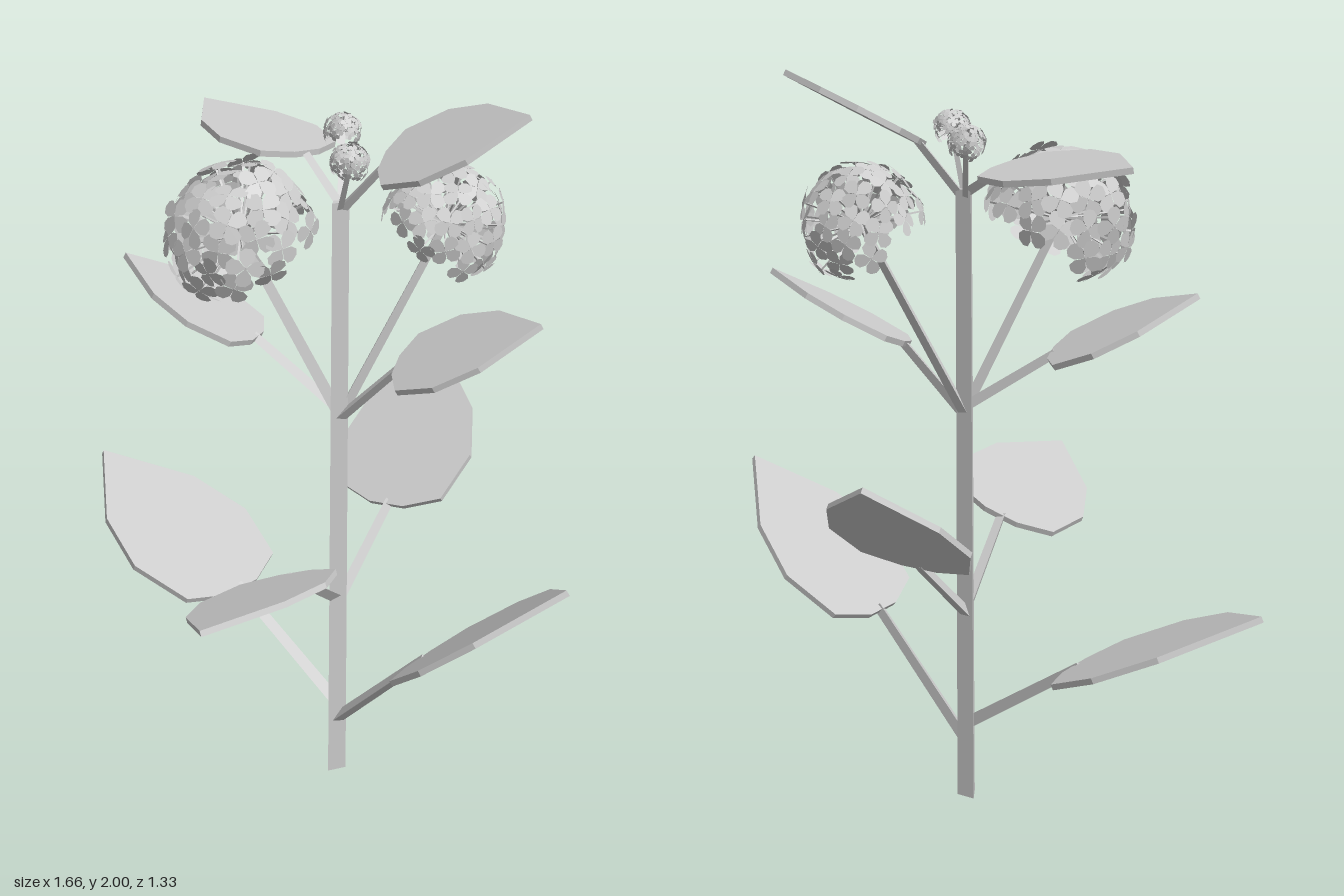
import * as THREE from 'three';
import { mergeGeometries } from 'three/addons/utils/BufferGeometryUtils.js';

const V = (a) => new THREE.Vector3(...a);
const UP = new THREE.Vector3(0, 1, 0);

// Small seeded random source
function seeded(seed) {
  return () => (seed = (seed * 16807) % 2147483647) / 2147483647;
}

// Three-sided rod between two points
function rodGeometry(a, b, r0, r1) {
  const d = b.clone().sub(a);
  const g = new THREE.CylinderGeometry(r1, r0, d.length(), 3);
  g.applyQuaternion(new THREE.Quaternion().setFromUnitVectors(UP, d.clone().normalize()));
  g.translate(...a.clone().add(b).multiplyScalar(0.5).toArray());
  return g;
}

// Flat pointed leaf, thin slab laid along base -> tip with a given width direction
function leafGeometry(base, tip, sideHint) {
  const axis = tip.clone().sub(base);
  const L = axis.length();
  axis.normalize();
  const side = sideHint.clone().addScaledVector(axis, -sideHint.dot(axis)).normalize();
  const normal = side.clone().cross(axis);
  const half = [[0.1, 0], [0.3, 0.08], [0.385, 0.36], [0.3, 0.65]];
  const outline = [...half, [0, 1], ...half.map(([w, t]) => [-w, t]).reverse()];
  const shape = new THREE.Shape(outline.map(([w, t]) => new THREE.Vector2(w * L, t * L)));
  const depth = 0.016;
  const g = new THREE.ExtrudeGeometry(shape, { depth, bevelEnabled: false });
  g.translate(0, 0, -depth / 2);
  g.applyMatrix4(new THREE.Matrix4().makeBasis(side, axis, normal).setPosition(base));
  return g;
}

// Four-petalled floret of unit radius, facing +z, petals bent slightly back
function floretGeometry() {
  const petal = new THREE.Shape([[0, 0], [0.36, 0.4], [0.42, 0.78], [0.18, 1],
    [-0.18, 1], [-0.42, 0.78], [-0.36, 0.4]].map((p) => new THREE.Vector2(...p)));
  const petals = [];
  for (let i = 0; i < 4; i++) {
    const g = new THREE.ShapeGeometry(petal);
    g.rotateX(-0.15);
    g.rotateZ(i * Math.PI / 2);
    petals.push(g);
  }
  return mergeGeometries(petals);
}

// Rounded cluster of florets on spokes, open towards its stalk
function flowerHead(center, axis, R, count, size, seed) {
  const rnd = seeded(seed);
  const tilt = new THREE.Quaternion().setFromUnitVectors(UP, axis.clone().normalize());
  const unit = floretGeometry();
  const florets = [], spokes = [];
  const low = Math.cos(2.03);
  for (let i = 0; i < count; i++) {
    const c = 1 - (1 - low) * (i + 0.5) / count;
    const s = Math.sqrt(1 - c * c);
    const a = i * 2.39996;
    const dir = new THREE.Vector3(s * Math.cos(a), c, s * Math.sin(a)).applyQuaternion(tilt);
    const pos = center.clone().addScaledVector(dir, R * (0.93 + 0.1 * rnd()));
    const face = dir.clone().add(new THREE.Vector3(rnd() - 0.5, rnd() - 0.5, rnd() - 0.5).multiplyScalar(0.5));
    const g = unit.clone();
    g.rotateZ(rnd() * Math.PI);
    g.scale(size, size, size);
    g.applyQuaternion(new THREE.Quaternion().setFromUnitVectors(new THREE.Vector3(0, 0, 1), face.normalize()));
    g.translate(pos.x, pos.y, pos.z);
    florets.push(g);
    spokes.push(rodGeometry(center, pos, R * 0.018, R * 0.018));
  }
  return { florets: mergeGeometries(florets), spokes: mergeGeometries(spokes) };
}

export function createModel() {
  const group = new THREE.Group();
  const plantGrey = new THREE.MeshStandardMaterial({ color: 0xcccccc, side: THREE.DoubleSide, flatShading: true });
  plantGrey.name = 'plantGrey';
  const add = (name, geometry) => {
    const mesh = new THREE.Mesh(geometry, plantGrey);
    mesh.name = name;
    group.add(mesh);
  };

  // Main stem, one edge forward
  const sx = 0.064, sz = -0.054;
  const onStem = (y) => new THREE.Vector3(sx, y, sz);
  add('stem', rodGeometry(onStem(0), onStem(1.71), 0.031, 0.027));

  // Leaves: stem height, base, tip, width direction, petiole radius
  const leaves = [
    ['lowerLeftLeaf', 0.16, [0.37, 0.48, -0.03], [0.82, 0.855, -0.03], [0, 0, 1], 0.019],
    ['lowerRightLeaf', 0.22, [-0.28, 0.46, -0.055], [-0.83, 0.72, -0.07], [0, 0, 1], 0.019],
    ['frontLeaf', 0.56, [0.11, 0.745, 0.18], [0.206, 0.825, 0.66], [0.92, 0.39, -0.18], 0.018],
    ['backLeaf', 0.54, [0.06, 0.75, -0.285], [-0.04, 1.08, -0.665], [0.98, 0.08, -0.2], 0.018],
    ['middleLeftLeaf', 1.1, [0.23, 1.285, -0.09], [0.595, 1.46, -0.2], [0.3, -0.25, 0.9], 0.016],
    ['middleRightLeaf', 1.13, [-0.165, 1.29, 0], [-0.53, 1.47, 0.115], [0, 0.26, 0.96], 0.016],
    ['upperLeftLeaf', 1.68, [0.175, 1.825, -0.09], [0.54, 1.99, -0.19], [0, -0.4, 0.9], 0.014],
    ['upperRightLeaf', 1.7, [-0.085, 1.79, -0.11], [-0.505, 1.83, -0.187], [0, 0.1, 1], 0.014],
  ];
  for (const [name, y, base, tip, side, r] of leaves) {
    const b = V(base), t = V(tip);
    add(name, leafGeometry(b, t, V(side)));
    add(name + 'Petiole', rodGeometry(onStem(y), b.clone().lerp(t, 0.03), r, r * 0.85));
  }

  // Flower heads: stem height, centre, opening axis, radius, florets, floret radius, stalk radius
  const heads = [
    ['frontFlower', 1.12, [-0.12, 1.625, 0.115], [-0.35, 0.8, 0.4], 0.19, 52, 0.05, 0.018],
    ['backFlower', 1.1, [0.245, 1.635, -0.262], [0.4, 0.8, -0.4], 0.16, 46, 0.042, 0.016],
    ['backBud', 1.68, [-0.013, 1.85, -0.165], [-0.2, 0.9, -0.25], 0.05, 36, 0.015, 0.01],
    ['frontBud', 1.68, [0.156, 1.85, 0.02], [0.25, 0.9, 0.2], 0.05, 36, 0.015, 0.01],
  ];
  heads.forEach(([name, y, center, axis, R, count, size, r], i) => {
    const c = V(center);
    const { florets, spokes } = flowerHead(c, V(axis), R, count, size, 101 + i * 37);
    add(name + 'Florets', florets);
    add(name + 'Spokes', spokes);
    add(name + 'Stalk', rodGeometry(onStem(y), c, r, r * 0.8));
  });
  return group;
}
